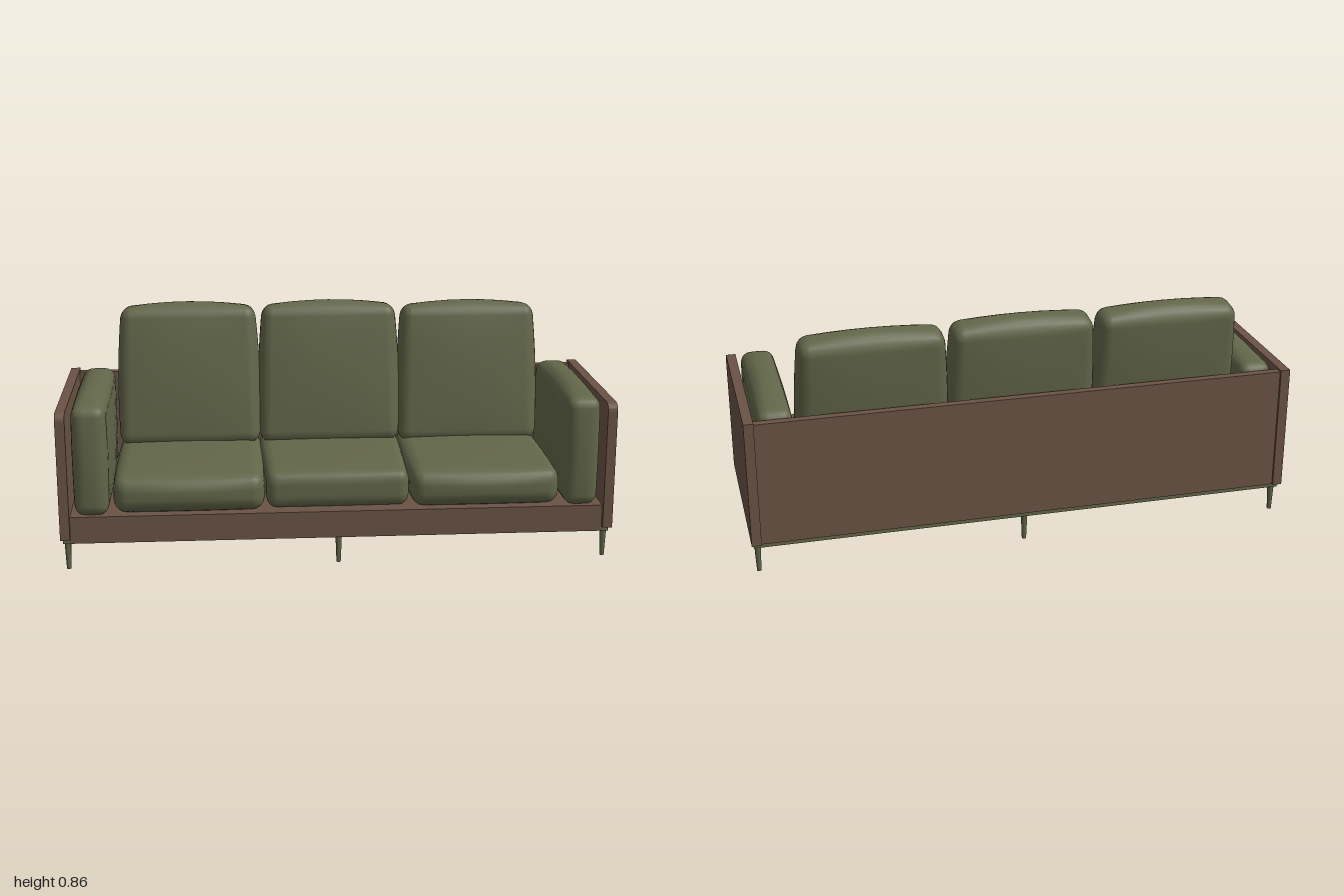
import * as THREE from 'three';
import { mergeVertices } from 'three/addons/utils/BufferGeometryUtils.js';

// Soft cushion: rounded box whose faces puff outward and whose width may taper
// size, puff: [x, y, z]; r: edge radius; taperY / taperZ: narrowing toward top / front
function cushionGeometry(size, r, puff, taperY = 0, taperZ = 0) {
  const N = 12, C = 3; // grid steps per side, steps spent on each rounded edge
  const geo = new THREE.BoxGeometry(2, 2, 2, N, N, N);
  geo.deleteAttribute('uv');
  geo.deleteAttribute('normal');
  const half = size.map((s) => s / 2);
  const remap = (t, h) => {
    const k = Math.round((t + 1) / 2 * N);
    if (k <= C) return -h + r * (1 - Math.cos(k / C * Math.PI / 2)) ** 0.7;
    if (k >= N - C) return h - r * (1 - Math.cos((N - k) / C * Math.PI / 2)) ** 0.7;
    return (-1 + 2 * (k - C) / (N - 2 * C)) * (h - r);
  };
  const pos = geo.attributes.position;
  const p = new THREE.Vector3(), c = new THREE.Vector3();
  for (let i = 0; i < pos.count; i++) {
    p.set(remap(pos.getX(i), half[0]), remap(pos.getY(i), half[1]), remap(pos.getZ(i), half[2]));
    c.set(...p.toArray().map((v, k) => THREE.MathUtils.clamp(v, -(half[k] - r), half[k] - r)));
    p.sub(c).setLength(r).add(c);
    const n = p.toArray().map((v, k) => v / half[k]);
    const f = n.map((v) => Math.max(0, 1 - v * v));
    p.x += n[0] * puff[0] * f[1] * f[2];
    p.y += n[1] * puff[1] * f[0] * f[2];
    p.z += n[2] * puff[2] * f[0] * f[1];
    p.x *= (1 - taperY * (n[1] + 1) / 2) * (1 - taperZ * (n[2] + 1) / 2);
    pos.setXYZ(i, p.x, p.y, p.z);
  }
  const merged = mergeVertices(geo, 1e-5);
  merged.computeVertexNormals();
  return merged;
}

export function createModel() {
  const sofa = new THREE.Group();
  sofa.name = 'sofa';
  const wood = new THREE.MeshStandardMaterial({ color: 0x6a5345 });
  wood.name = 'brown wood';
  const fabric = new THREE.MeshStandardMaterial({ color: 0x626649 });
  fabric.name = 'olive green';

  const add = (name, geo, mat, x = 0, y = 0, z = 0) => {
    const mesh = new THREE.Mesh(geo, mat);
    mesh.name = name;
    mesh.position.set(x, y, z);
    sofa.add(mesh);
    return mesh;
  };
  // Box given by its minimum and maximum corners
  const box = (name, mat, a, b) => add(name,
    new THREE.BoxGeometry(b[0] - a[0], b[1] - a[1], b[2] - a[2]), mat,
    (a[0] + b[0]) / 2, (a[1] + b[1]) / 2, (a[2] + b[2]) / 2);

  // Side panels with a rounded upper front corner
  const side = new THREE.Shape();
  side.moveTo(-0.345, 0.12);
  side.lineTo(0.345, 0.12);
  side.lineTo(0.345, 0.56);
  side.quadraticCurveTo(0.343, 0.588, 0.31, 0.588);
  side.lineTo(-0.345, 0.588);
  const sideGeo = new THREE.ExtrudeGeometry(side, { depth: 0.035, bevelEnabled: false, curveSegments: 5 });
  sideGeo.rotateY(-Math.PI / 2);
  add('leftSidePanel', sideGeo, wood, 1);
  add('rightSidePanel', sideGeo, wood, -0.965);

  // Wooden body
  box('backPanel', wood, [-0.965, 0.12, -0.336], [0.965, 0.58, -0.305]);
  box('seatPlatform', wood, [-0.965, 0.112, -0.305], [0.965, 0.2, 0.3]);
  box('frontRail', wood, [-0.965, 0.102, 0.3], [0.965, 0.2, 0.324]);

  // Base frame, open in the middle
  const frame = new THREE.Shape();
  const rect = (path, x, z) => {
    path.moveTo(-x, -z);
    path.lineTo(x, -z);
    path.lineTo(x, z);
    path.lineTo(-x, z);
    path.closePath();
    return path;
  };
  rect(frame, 0.992, 0.322);
  frame.holes.push(rect(new THREE.Path(), 0.962, 0.292));
  const frameGeo = new THREE.ExtrudeGeometry(frame, { depth: 0.02, bevelEnabled: false });
  frameGeo.rotateX(-Math.PI / 2);
  add('baseFrame', frameGeo, fabric, 0, 0.1, 0);

  // Tapered legs
  const legGeo = new THREE.CylinderGeometry(0.012, 0.008, 0.1, 10);
  for (const x of [-0.977, 0, 0.977]) {
    for (const z of [-0.301, 0.303]) add('leg', legGeo, fabric, x, 0.05, z);
  }

  // Arm cushions
  const armGeo = cushionGeometry([0.122, 0.4, 0.62], 0.035, [0.012, 0.021, 0.01]);
  for (const s of [-1, 1]) add(s > 0 ? 'leftArmCushion' : 'rightArmCushion', armGeo, fabric, s * 0.887, 0.4, 0.01);

  // Seat and back cushions
  const outerSeat = cushionGeometry([0.54, 0.137, 0.6], 0.045, [0.008, 0.008, 0.018]);
  const middleSeat = cushionGeometry([0.545, 0.137, 0.575], 0.04, [0.004, 0.006, 0.004], 0, 0.05);
  const backGeo = cushionGeometry([0.535, 0.525, 0.125], 0.04, [0.012, 0.02, 0.016], 0.05);
  for (const i of [-1, 0, 1]) {
    const x = i * 0.538;
    add('seatCushion', i ? outerSeat : middleSeat, fabric, x, 0.269, i ? 0.013 : 0.005);
    const back = add('backCushion', backGeo, fabric, x, i > 0 ? 0.577 : 0.584, -0.219);
    back.rotation.x = -0.13;
  }
  return sofa;
}
